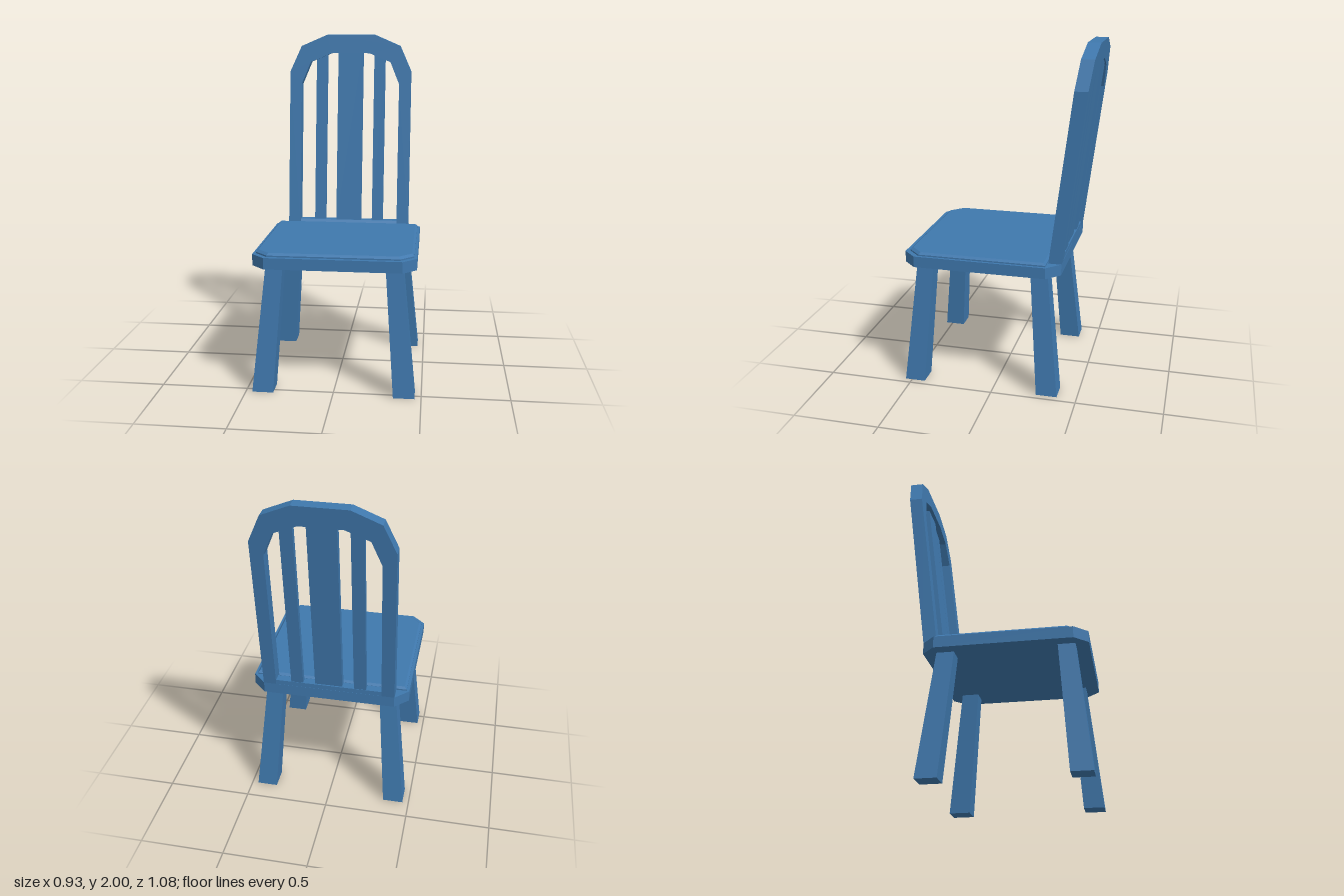
import * as THREE from 'three';

const material = new THREE.MeshStandardMaterial({ color: 0x3f78ad, flatShading: true });

// Horizontal outline at height y; front and back corners can be cut off by a chamfer
function ring(y, x0, x1, z0, z1, front = 0, back = 0) {
  const f = front, b = back, pts = [];
  if (f) pts.push([x1 - f, y, z1], [x1, y, z1 - f]); else pts.push([x1, y, z1]);
  if (b) pts.push([x1, y, z0 + b], [x1 - b, y, z0]); else pts.push([x1, y, z0]);
  if (b) pts.push([x0 + b, y, z0], [x0, y, z0 + b]); else pts.push([x0, y, z0]);
  if (f) pts.push([x0, y, z1 - f], [x0 + f, y, z1]); else pts.push([x0, y, z1]);
  return pts;
}

// Closed solid through a stack of matching outlines, bottom to top
function loft(rings) {
  const pos = [];
  const tri = (a, b, c) => pos.push(...a, ...b, ...c);
  const n = rings[0].length, top = rings[rings.length - 1], bottom = rings[0];
  for (let k = 0; k < rings.length - 1; k++) {
    const lo = rings[k], hi = rings[k + 1];
    for (let i = 0; i < n; i++) {
      const j = (i + 1) % n;
      tri(lo[i], lo[j], hi[j]);
      tri(lo[i], hi[j], hi[i]);
    }
  }
  for (let i = 1; i < n - 1; i++) {
    tri(top[0], top[i], top[i + 1]);
    tri(bottom[0], bottom[i + 1], bottom[i]);
  }
  const g = new THREE.BufferGeometry();
  g.setAttribute('position', new THREE.Float32BufferAttribute(pos, 3));
  g.computeVertexNormals();
  return g;
}

// Flat outline given depth, then leaned backwards with height
const BASE_Y = 0.795, LEAN = 0.155 / 1.205;
function leaningPanel(points, zFront, depth) {
  const shape = new THREE.Shape(points.map(([x, y]) => new THREE.Vector2(x, y)));
  const g = new THREE.ExtrudeGeometry(shape, { depth, bevelEnabled: false });
  const p = g.attributes.position;
  for (let i = 0; i < p.count; i++) {
    p.setZ(i, p.getZ(i) + zFront - depth - (p.getY(i) - BASE_Y) * LEAN);
  }
  g.computeVertexNormals();
  return g;
}

export function createModel() {
  const chair = new THREE.Group();
  chair.name = 'chair';
  const add = (name, geometry) => {
    const mesh = new THREE.Mesh(geometry, material);
    mesh.name = name;
    chair.add(mesh);
  };

  // Seat board with cut corners
  add('seat', loft([
    ring(0.73, -0.463, 0.463, -0.385, 0.54, 0.077, 0.077),
    ring(0.795, -0.463, 0.463, -0.385, 0.54, 0.077, 0.077),
  ]));

  // Raised seat panel with a bevelled rim
  add('seatPanel', loft([
    ring(0.795, -0.447, 0.447, -0.305, 0.515, 0.075),
    ring(0.803, -0.447, 0.447, -0.305, 0.515, 0.075),
    ring(0.815, -0.434, 0.434, -0.293, 0.5, 0.071),
  ]));

  // Splayed, tapered legs
  for (const [side, s] of [['left', 1], ['right', -1]]) {
    const span = (a, b) => (s > 0 ? [a, b] : [-b, -a]);
    const foot = span(0.342, 0.463), head = span(0.29, 0.388);
    add(side + 'FrontLeg', loft([
      ring(0, ...foot, 0.42, 0.54), ring(0.73, ...head, 0.37, 0.467),
    ]));
    add(side + 'BackLeg', loft([
      ring(0, ...foot, -0.385, -0.262), ring(0.73, ...head, -0.308, -0.208),
    ]));
  }

  // Arched back frame: outer edge up and over, inner edge back again
  const outer = [[0.387, BASE_Y], [0.387, 1.77], [0.315, 1.93], [0.152, 2]];
  const inner = [[0.312, BASE_Y], [0.312, 1.692], [0.255, 1.83], [0.12, 1.885]];
  const mirrored = (pts) => pts.map(([x, y]) => [-x, y]);
  add('backFrame', leaningPanel([
    ...outer, ...mirrored(outer).reverse(),
    ...mirrored(inner), ...[...inner].reverse(),
  ], -0.31, 0.075));

  // Low rail at the foot of the back, sloped at the front
  add('backRail', loft([
    ring(0.795, -0.313, 0.313, -0.384, -0.31),
    ring(0.823, -0.313, 0.313, -0.384, -0.334),
  ]));

  // Upright slats
  const slat = (x0, x1, top, z, depth) =>
    leaningPanel([[x0, 0.8], [x1, 0.8], [x1, top], [x0, top]], z, depth);
  add('centreSlat', slat(-0.08, 0.08, 1.93, -0.332, 0.04));
  add('leftSlat', slat(0.15, 0.221, 1.9, -0.345, 0.033));
  add('rightSlat', slat(-0.221, -0.15, 1.9, -0.345, 0.033));

  return chair;
}
